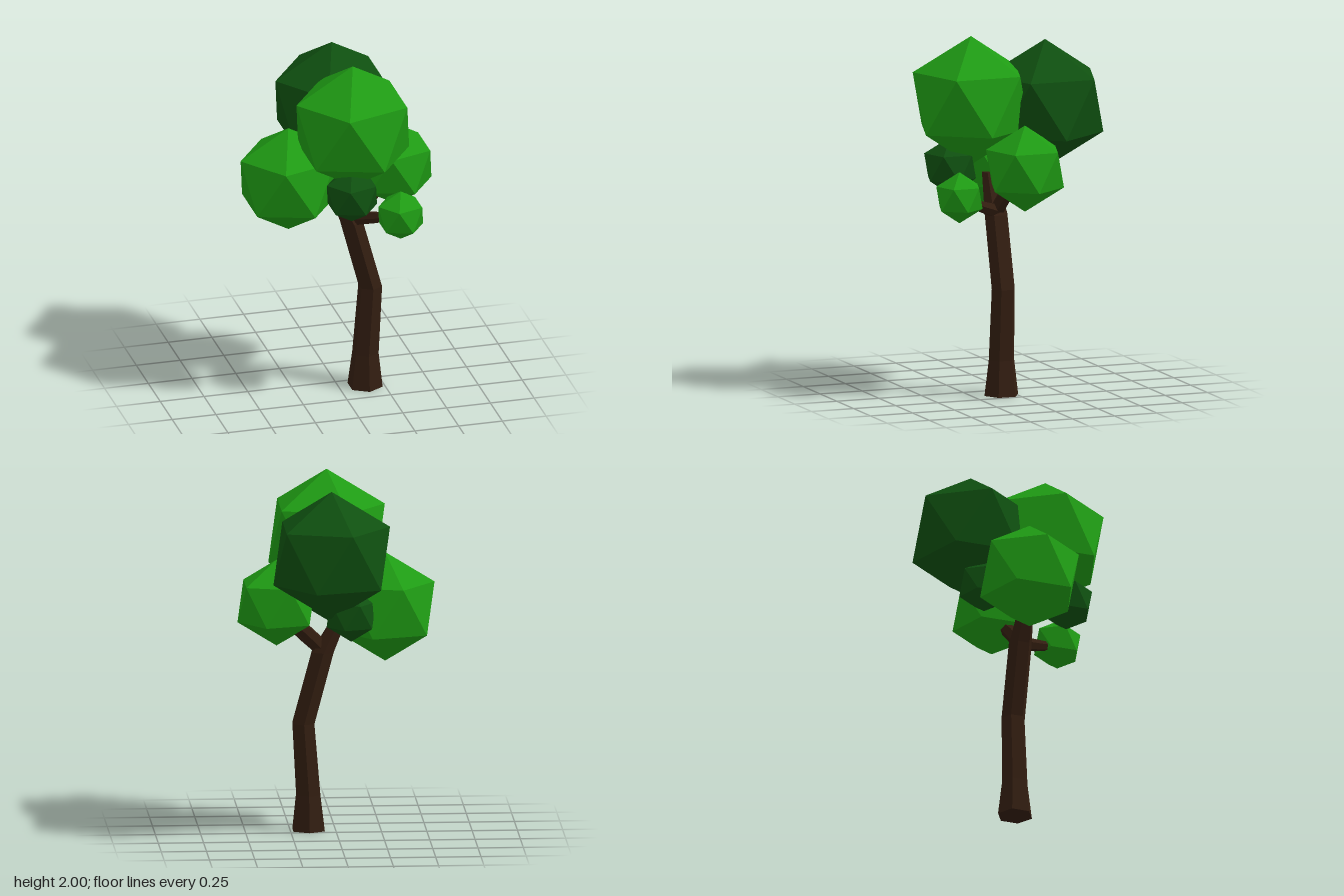
import * as THREE from 'three';

const mat = (color) => new THREE.MeshStandardMaterial({ color, flatShading: true, side: THREE.DoubleSide });
const bark = mat(0x331e11);
const lightLeaf = mat(0x1f9c14);
const darkLeaf = mat(0x0f5010);

// Six-sided limb through rings [x, y, z, radius]; tilt turns each ring towards the limb's direction.
function limb(name, rings, tilt) {
  const last = rings.length - 1;
  const geo = new THREE.CylinderGeometry(1, 1, last, 6, last);
  const pos = geo.attributes.position;
  const centres = rings.map(([x, y, z]) => new THREE.Vector3(x, y, z));
  const up = new THREE.Vector3(0, 1, 0);
  const dir = centres[last].clone().sub(centres[0]).normalize();
  const turn = new THREE.Quaternion();
  if (tilt) turn.setFromUnitVectors(up, dir);
  const v = new THREE.Vector3();
  for (let i = 0; i < pos.count; i++) {
    const k = Math.round(pos.getY(i) + last / 2);
    v.set(pos.getX(i), 0, pos.getZ(i)).multiplyScalar(rings[k][3]);
    v.applyQuaternion(turn).add(centres[k]);
    pos.setXYZ(i, v.x, v.y, v.z);
  }
  geo.computeVertexNormals();
  const mesh = new THREE.Mesh(geo, bark);
  mesh.name = name;
  return mesh;
}

// Icosahedron standing on one corner, with an upper corner pointing to -x.
function leafBall(name, material, x, y, z, r) {
  const geo = new THREE.IcosahedronGeometry(r, 0);
  geo.rotateX(-Math.atan((1 + Math.sqrt(5)) / 2));
  geo.rotateY(-Math.PI / 2);
  const mesh = new THREE.Mesh(geo, material);
  mesh.position.set(x, y, z);
  mesh.name = name;
  return mesh;
}

export function createModel() {
  const tree = new THREE.Group();
  tree.name = 'tree';

  // Bent trunk, leaning over at the top
  tree.add(limb('trunk', [
    [0.148, 0, 0.083, 0.1],
    [0.15, 0.2, 0.083, 0.075],
    [0.177, 0.6, 0.083, 0.068],
    [0.07, 1.0, 0.083, 0.067],
    [-0.04, 1.22, 0.083, 0.04],
  ], false));

  // Branches reaching into the foliage
  tree.add(limb('leftBranch', [[0.07, 1.02, 0.08, 0.045], [0.16, 1.11, 0.07, 0.042], [0.3, 1.24, 0.03, 0.03]], true));
  tree.add(limb('frontBranch', [[0.08, 1.02, 0.09, 0.042], [0.17, 1.07, 0.22, 0.033], [0.27, 1.13, 0.37, 0.02]], true));

  // Foliage
  const balls = [
    ['frontCrown', lightLeaf, 0.04, 1.64, 0.22, 0.36],
    ['backCrown', darkLeaf, 0.04, 1.595, -0.22, 0.36],
    ['rightFoliage', lightLeaf, -0.27, 1.265, 0.007, 0.305],
    ['leftFoliage', lightLeaf, 0.33, 1.292, 0.015, 0.241],
    ['smallLeftFoliage', lightLeaf, 0.27, 1.143, 0.38, 0.143],
    ['smallFrontFoliage', darkLeaf, 0.005, 1.275, 0.33, 0.16],
    ['smallBackFoliage', darkLeaf, -0.07, 1.258, -0.185, 0.152],
  ];
  for (const ball of balls) tree.add(leafBall(...ball));

  return tree;
}
